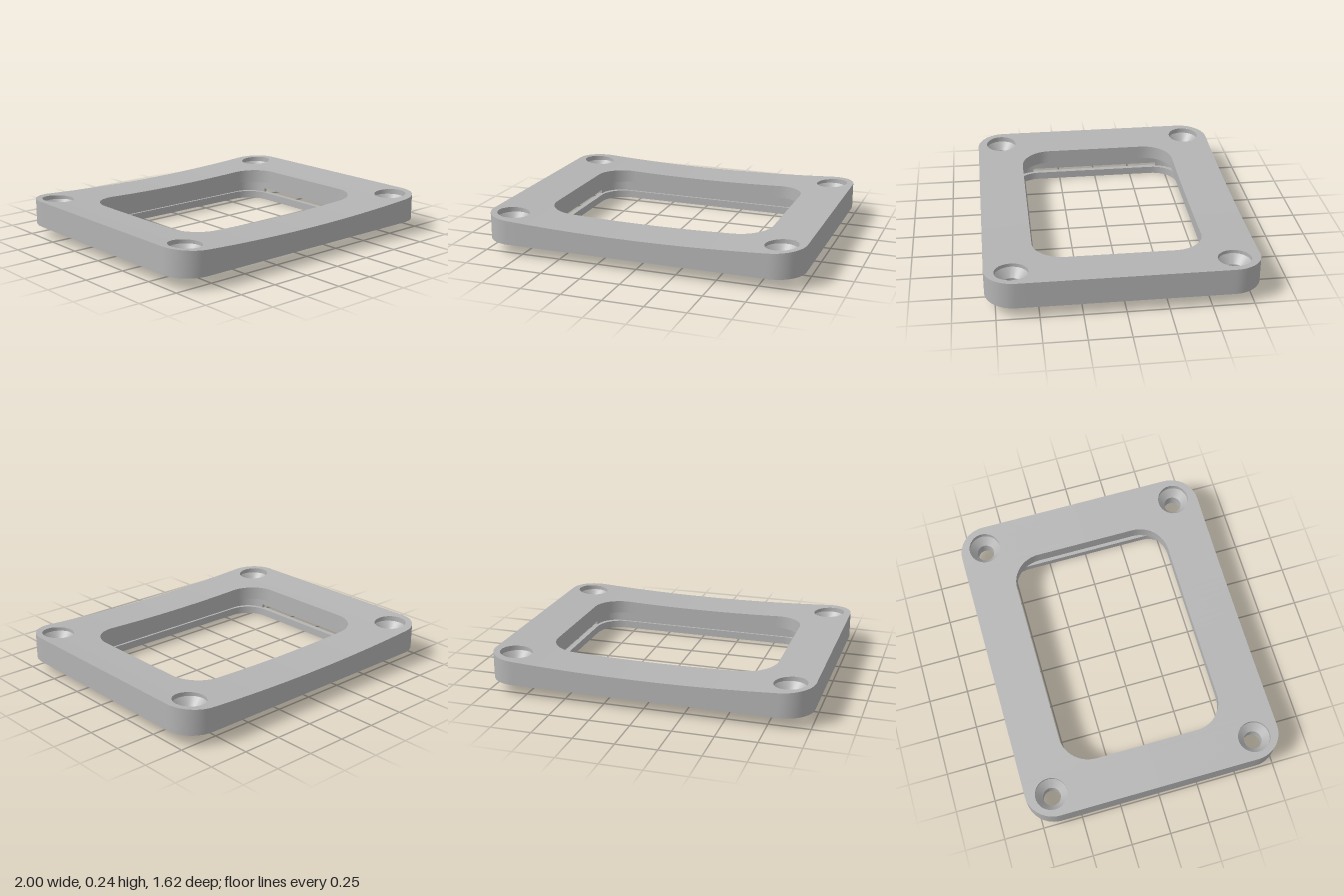
import * as THREE from 'three';
import { toCreasedNormals } from 'three/addons/utils/BufferGeometryUtils.js';

// Levels
const Y_SLOT = 0.048, Y_PLATE = 0.073, Y_LIP = 0.13, Y_CONE = 0.15, Y_SINK = 0.2;
const topY = (x) => 0.2 + 0.037 * x * x;

// Rounded rectangles: half width, half depth, corner radius
const PLATE = [1, 0.81, 0.18];
const OPENING = [0.715, 0.515, 0.19];
const RECESS = [0.745, 0.575, 0.14];
const RING = [0.765, 0.625, 0.19];
const RING_INNER = [0.73, 0.56, 0.16];
const SCREW_X = 0.855, SCREW_Z = 0.65, SINK_R = 0.1, BORE_R = 0.055;

// Contour points of a rounded rectangle, with subdivided straight sides
function rectPoints([w, d, r], arc = 12, side = 24) {
  const corners = [[1, 1], [-1, 1], [-1, -1], [1, -1]];
  const raw = [];
  corners.forEach(([sx, sz], k) => {
    for (let i = 0; i <= arc; i++) {
      const a = (k + i / arc) * Math.PI / 2;
      raw.push(new THREE.Vector2(sx * (w - r) + r * Math.cos(a), sz * (d - r) + r * Math.sin(a)));
    }
  });
  const pts = [];
  raw.forEach((p, i) => {
    pts.push(p);
    if (i % (arc + 1) !== arc) return;
    const q = raw[(i + 1) % raw.length];
    for (let j = 1; j < side; j++) pts.push(p.clone().lerp(q, j / side));
  });
  return pts;
}

function circlePoints(cx, cz, r, n = 36) {
  return Array.from({ length: n }, (_, i) => {
    const a = i / n * Math.PI * 2;
    return new THREE.Vector2(cx + r * Math.cos(a), cz + r * Math.sin(a));
  });
}

function surface(pos) {
  const g = new THREE.BufferGeometry();
  g.setAttribute('position', new THREE.Float32BufferAttribute(pos, 3));
  g.computeVertexNormals();
  return toCreasedNormals(g, 0.5);
}

// Wall between two matching contours, facing inward unless outward is set
function wall(low, high, yLow, yHigh, outward = false) {
  const pos = [];
  const at = (p, y) => [p.x, typeof y === 'function' ? y(p.x) : y, p.y];
  low.forEach((_, i) => {
    const j = (i + 1) % low.length;
    let a = at(low[i], yLow), b = at(low[j], yLow), c = at(high[j], yHigh), d = at(high[i], yHigh);
    if (outward) [a, b, c, d] = [b, a, d, c];
    pos.push(...a, ...b, ...c, ...a, ...c, ...d);
  });
  return surface(pos);
}

// Flat face with holes, facing up or down
function face(outer, holes, y, up) {
  const s = new THREE.Shape(outer);
  s.holes = holes.map((h) => new THREE.Path(h));
  return new THREE.ShapeGeometry(s).rotateX(up ? -Math.PI / 2 : Math.PI / 2).translate(0, y, 0);
}

// Curved top, made of narrow columns across x that leave out the holes
function curvedTop() {
  const edge = (x, [w, d, r]) => {
    const t = Math.max(0, Math.abs(x) - (w - r));
    return d - r + Math.sqrt(Math.max(0, r * r - t * t));
  };
  const sink = (x) => Math.sqrt(Math.max(0, SINK_R ** 2 - (Math.abs(x) - SCREW_X) ** 2));
  const all = [...rectPoints(PLATE), ...rectPoints(OPENING),
    ...circlePoints(SCREW_X, 0, SINK_R), ...circlePoints(-SCREW_X, 0, SINK_R)];
  const xs = [...new Set(all.map((p) => +p.x.toFixed(4)))].sort((a, b) => a - b);
  const pos = [];
  for (let i = 0; i + 1 < xs.length; i++) {
    const x0 = xs[i], x1 = xs[i + 1], mid = Math.abs(x0 + x1) / 2;
    const outer = (x) => edge(x, PLATE);
    const inner = mid < OPENING[0] ? (x) => edge(x, OPENING) : () => 0;
    const spans = Math.abs(mid - SCREW_X) < SINK_R
      ? [[inner, (x) => SCREW_Z - sink(x)], [(x) => SCREW_Z + sink(x), outer]]
      : [[inner, outer]];
    for (const [from, to] of spans) for (const s of [1, -1]) {
      const [A, B] = s > 0 ? [from, to] : [to, from];
      const v = (x, f) => [x, topY(x), s * f(x)];
      const a = v(x0, A), b = v(x0, B), c = v(x1, B), d = v(x1, A);
      pos.push(...a, ...b, ...c, ...a, ...c, ...d);
    }
  }
  return surface(pos);
}

export function createModel() {
  const model = new THREE.Group();
  const grey = new THREE.MeshStandardMaterial({ color: 0xb4b4b4 });
  grey.name = 'grey';
  const add = (parent, name, geometry) => {
    const m = new THREE.Mesh(geometry, grey);
    m.name = name;
    parent.add(m);
    return m;
  };
  const group = (name) => {
    const g = new THREE.Group();
    g.name = name;
    model.add(g);
    return g;
  };

  const plate = rectPoints(PLATE), opening = rectPoints(OPENING), recess = rectPoints(RECESS);
  const ring = rectPoints(RING), ringInner = rectPoints(RING_INNER);
  const screws = [[1, 1], [-1, 1], [-1, -1], [1, -1]].map(([sx, sz]) => [sx * SCREW_X, sz * SCREW_Z]);
  const bores = screws.map(([x, z]) => circlePoints(x, z, BORE_R));

  // Plate with a curved top and a recess below the opening's lip
  const plateGroup = group('plate');
  add(plateGroup, 'plateTop', curvedTop());
  add(plateGroup, 'plateEdge', wall(plate, plate, Y_PLATE, topY, true));
  add(plateGroup, 'plateUnderside', face(plate, [recess, ...bores], Y_PLATE, false));
  add(plateGroup, 'openingWall', wall(opening, opening, Y_LIP, topY));
  add(plateGroup, 'lipUnderside', face(recess, [opening], Y_LIP, false));
  add(plateGroup, 'recessWall', wall(recess, recess, Y_PLATE, Y_LIP));

  // Countersunk screw holes
  const holes = group('screwHoles');
  screws.forEach(([x, z], i) => {
    const rim = circlePoints(x, z, SINK_R);
    add(holes, 'holeRim', wall(rim, rim, Y_SINK, topY));
    add(holes, 'countersink', wall(bores[i], rim, Y_CONE, Y_SINK));
    add(holes, 'bore', wall(bores[i], bores[i], Y_PLATE, Y_CONE));
  });

  // Lower ring
  const ringGroup = group('lowerRing');
  add(ringGroup, 'ringOutside', wall(ring, ring, 0, Y_SLOT, true));
  add(ringGroup, 'ringInside', wall(ringInner, ringInner, 0, Y_SLOT));
  add(ringGroup, 'ringBottom', face(ring, [ringInner], 0, false));
  add(ringGroup, 'ringLedge', face(ring, [ringInner], Y_SLOT, true));

  // Front and back ring supports, leaving a slot on each side
  const zEnd = RING[1] - RING[2] - 1e-5;
  const outline = [...ring.filter((p) => p.y >= zEnd), ...recess.filter((p) => p.y >= zEnd).reverse()];
  const support = toCreasedNormals(new THREE.ExtrudeGeometry(new THREE.Shape(outline),
    { depth: Y_PLATE - Y_SLOT, bevelEnabled: false }).rotateX(Math.PI / 2).translate(0, Y_PLATE, 0), 0.5);
  add(ringGroup, 'frontSupport', support);
  add(ringGroup, 'backSupport', support).rotation.y = Math.PI;

  return model;
}
